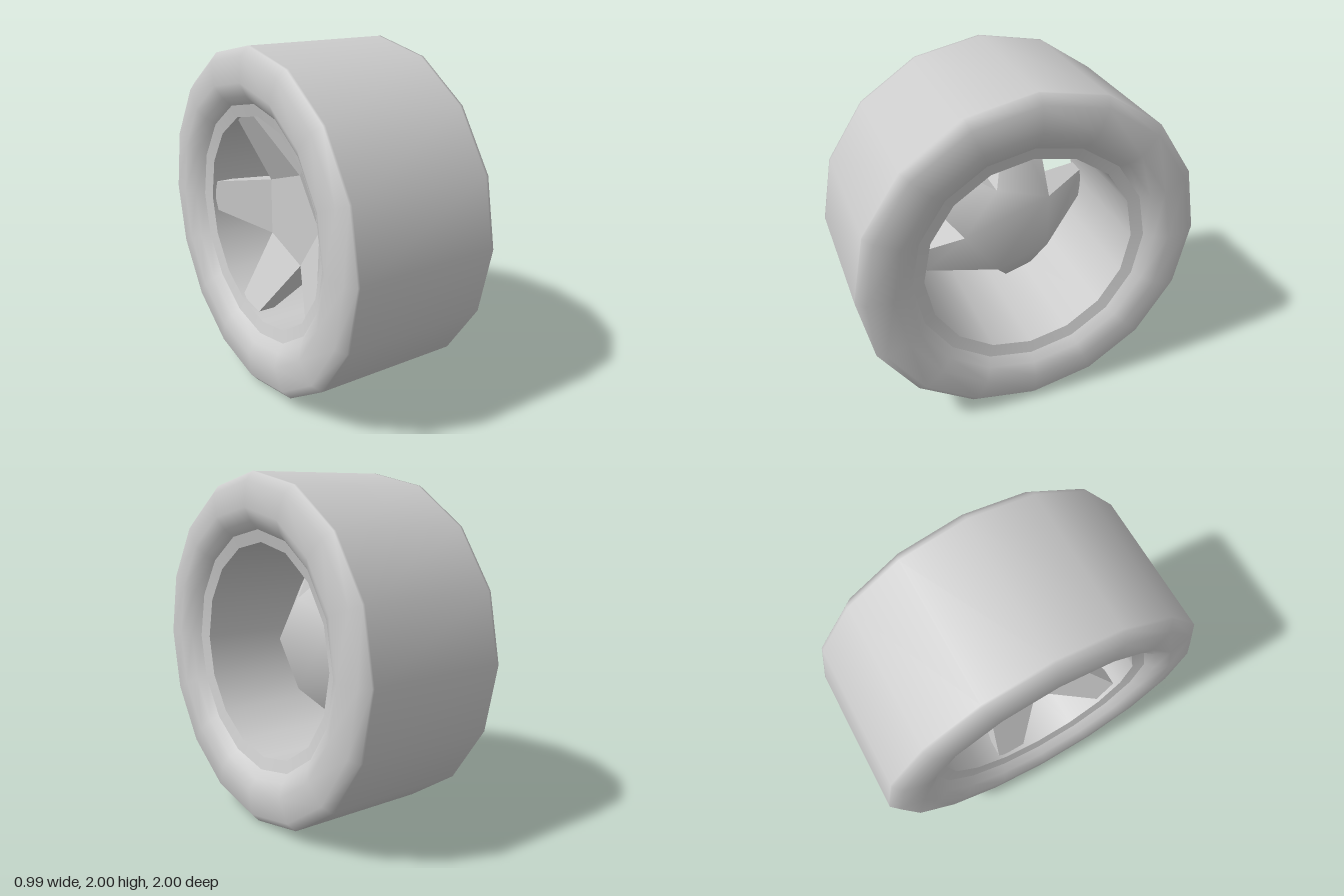
import * as THREE from 'three';

const SIDES = 16;
const material = new THREE.MeshStandardMaterial({ color: 0xcccccc });

// Ring turned about the x axis; profile is [radius, x], outside running towards +x
function ring(name, profile) {
  const geometry = new THREE.LatheGeometry(profile.map(([r, x]) => new THREE.Vector2(r, x)), SIDES);
  geometry.rotateZ(-Math.PI / 2);
  const mesh = new THREE.Mesh(geometry, material);
  mesh.name = name;
  return mesh;
}

// Indexed polygons (fans); flat ones get unshared corners
function polygons(name, points, faces, flat) {
  const index = [];
  for (const f of faces) {
    for (let k = 1; k < f.length - 1; k++) index.push(f[0], f[k], f[k + 1]);
  }
  let geometry = new THREE.BufferGeometry().setFromPoints(points);
  geometry.setIndex(index);
  if (flat) geometry = geometry.toNonIndexed();
  geometry.computeVertexNormals();
  const mesh = new THREE.Mesh(geometry, material);
  mesh.name = name;
  return mesh;
}

// Five tapering spokes around a pentagonal hub, dished towards -x
function createSpokes() {
  const arms = 5, step = (Math.PI * 2) / arms;
  const hubRadius = 0.29, tipRadius = 0.615, tipHalf = 0.092;
  const outline = (hubX, tipX) => {
    const points = [];
    for (let i = 0; i < arms; i++) {
      const a = i * step;
      const at = (x, r, s) => new THREE.Vector3(
        x, r * Math.sin(a) + s * Math.cos(a), -r * Math.cos(a) + s * Math.sin(a));
      const h = step / 2;
      points.push(
        at(tipX, tipRadius, -tipHalf),
        at(tipX, tipRadius, tipHalf),
        at(hubX, hubRadius * Math.cos(h), hubRadius * Math.sin(h)));
    }
    return points;
  };
  const n = arms * 3;
  const inner = outline(0.08, -0.27), outer = outline(-0.18, -0.37);
  const points = [...inner, ...outer];
  const innerFaces = [], flatFaces = [];
  const hub = [];
  for (let i = 0; i < arms; i++) {
    const j = i * 3;
    hub.push(j + 2);
    innerFaces.push([(j + n - 1) % n, j, j + 1, j + 2]);
  }
  innerFaces.push(hub);
  for (const f of innerFaces) flatFaces.push(f.map((v) => v + n).reverse());
  for (let a = 0; a < n; a++) {
    const b = (a + 1) % n;
    flatFaces.push([a + n, b + n, b, a]);
  }
  const group = new THREE.Group();
  group.name = 'spokes';
  group.add(polygons('spokeInnerFace', points, innerFaces, false));
  group.add(polygons('spokeOuterFaceAndSides', points, flatFaces, true));
  return group;
}

export function createModel() {
  const wheel = new THREE.Group();
  wheel.name = 'wheel';

  // Tyre: mirrored sidewall and shoulder profile
  const half = [[0.69, 0.41], [0.735, 0.455], [0.81, 0.493], [0.95, 0.48], [1, 0.435], [1, 0.42]];
  const mirrored = half.map(([r, x]) => [r, -x]);
  wheel.add(ring('tyre', [...mirrored, ...half.slice().reverse()]));

  // Rim: two narrow lips and the barrel between them
  wheel.add(ring('rimLipLeft', [[0.69, 0.41], [0.62, 0.39]]));
  wheel.add(ring('rimBarrel', [[0.62, 0.39], [0.62, -0.39]]));
  wheel.add(ring('rimLipRight', [[0.62, -0.39], [0.69, -0.41]]));

  wheel.add(createSpokes());
  wheel.position.y = 1;

  const model = new THREE.Group();
  model.name = 'wheelModel';
  model.add(wheel);
  return model;
}
